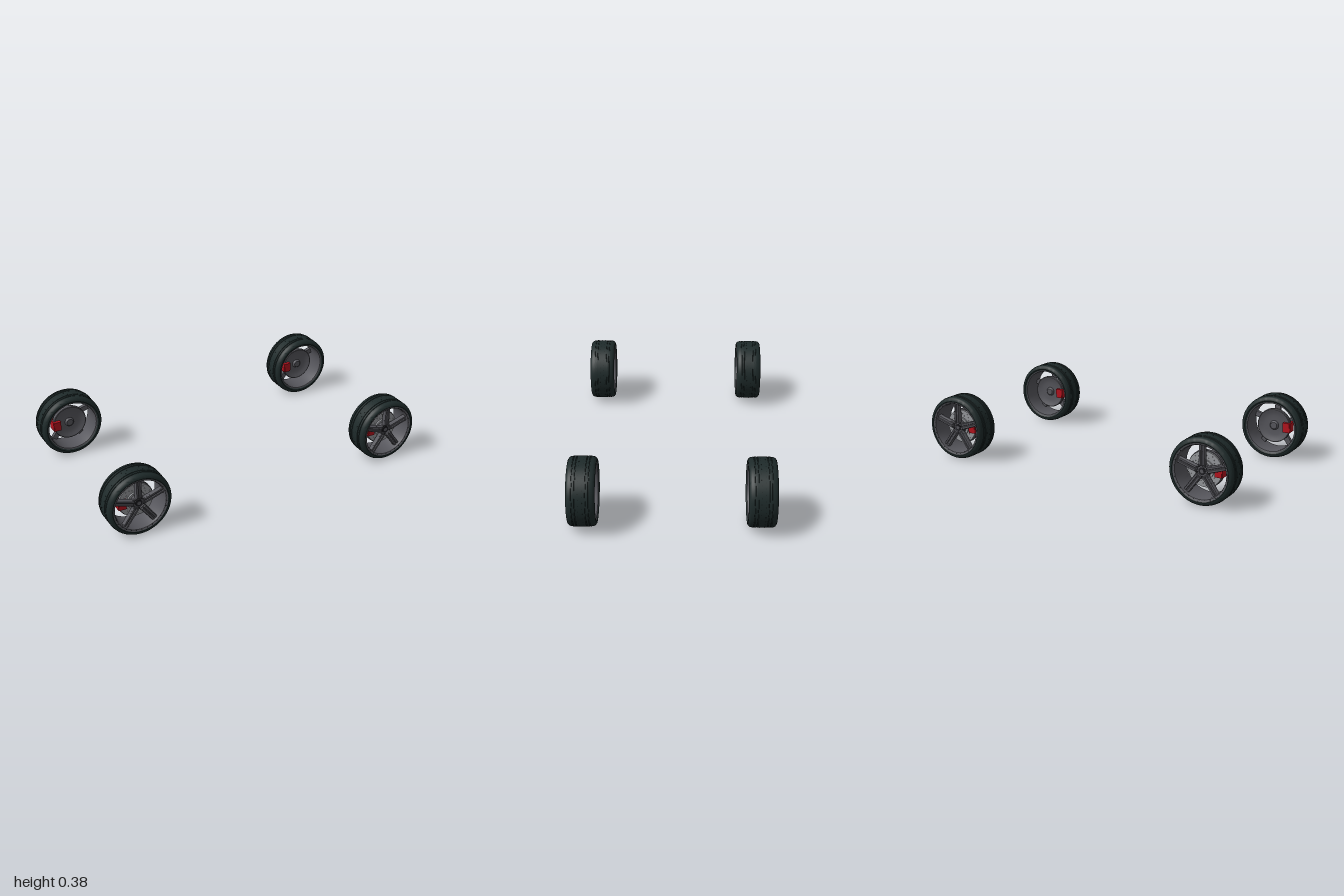
import * as THREE from 'three';
import { toCreasedNormals } from 'three/addons/utils/BufferGeometryUtils.js';

const mat = (name, color) => Object.assign(new THREE.MeshStandardMaterial({ color }), { name });
const R = 0.19;

function add(parent, name, geometry, material, x = 0, y = 0, z = 0) {
  const mesh = new THREE.Mesh(geometry, material);
  mesh.name = name;
  mesh.position.set(x, y, z);
  parent.add(mesh);
  return mesh;
}

// Revolves a counter-clockwise [radius, z] profile about the z axis
function turned(points, segments = 72) {
  const g = new THREE.LatheGeometry(points.map(p => new THREE.Vector2(...p)), segments);
  g.rotateX(Math.PI / 2);
  return toCreasedNormals(g, 0.6);
}

// Cylinder whose axis is z
const disc = (r, depth, segments = 32) => new THREE.CylinderGeometry(r, r, depth, segments).rotateX(Math.PI / 2);

// Tapered bar from radius r0 to r1 along +y, between half-widths w0 and w1
function bar(r0, r1, w0, w1, depth, offset = 0) {
  const s = new THREE.Shape([
    new THREE.Vector2(offset - w0, r0), new THREE.Vector2(offset + w0, r0),
    new THREE.Vector2(offset + w1, r1), new THREE.Vector2(offset - w1, r1),
  ]);
  return new THREE.ExtrudeGeometry(s, {
    depth, bevelEnabled: true, bevelSize: 0.002, bevelThickness: 0.003, bevelSegments: 1,
  });
}

export function createModel() {
  const rubber = mat('tyre rubber', 0x1e2a2a);
  const darkRubber = mat('tread cut', 0x111818);
  const alloy = mat('dark alloy', 0x56565c);
  const steel = mat('brake steel', 0x96989c);
  const red = mat('caliper red', 0xb3121d);
  const black = mat('hub black', 0x1c1c20);

  // Tyre with rounded shoulders and four shallow grooves
  const tyrePoints = [[0.152, -0.064], [0.157, -0.073], [0.165, -0.0775], [0.174, -0.0765],
    [0.182, -0.071], [0.187, -0.062], [0.1885, -0.052]];
  for (const z of [-0.045, -0.028, 0.028, 0.045])
    tyrePoints.push([0.19, z - 0.0025], [0.1865, z - 0.0015], [0.1865, z + 0.0015], [0.19, z + 0.0025]);
  tyrePoints.push([0.1885, 0.052], [0.187, 0.062], [0.182, 0.071], [0.174, 0.0765],
    [0.165, 0.0775], [0.157, 0.073], [0.152, 0.064], [0.152, -0.064]);
  const tyreGeo = turned(tyrePoints, 96);

  // Open rim barrel with a lip on each side
  const rimGeo = turned([[0.147, -0.06], [0.15, -0.07], [0.161, -0.074], [0.163, -0.07], [0.154, -0.06],
    [0.154, 0.06], [0.163, 0.072], [0.161, 0.076], [0.151, 0.072], [0.147, 0.06], [0.147, -0.06]]);

  // Drilled brake rotor
  const rotorShape = new THREE.Shape().absarc(0, 0, 0.1, 0, Math.PI * 2);
  for (let i = 0; i < 30; i++) {
    const a = i * Math.PI / 15, r = 0.068 + (i % 3) * 0.01;
    rotorShape.holes.push(new THREE.Path().absarc(Math.cos(a) * r, Math.sin(a) * r, 0.0022, 0, Math.PI * 2, true));
  }
  const rotorGeo = new THREE.ExtrudeGeometry(rotorShape, { depth: 0.012, bevelEnabled: false, curveSegments: 48 });

  // Dished backing plate with a raised centre, facing inwards
  const dishGeo = turned([[0, -0.022], [0.02, -0.022], [0.025, -0.018], [0.028, -0.009], [0.06, -0.008],
    [0.082, -0.013], [0.1, -0.02], [0.104, -0.018], [0.104, 0.001], [0, 0.001]]);

  const hubGeo = turned([[0, 0], [0.036, 0], [0.042, 0.02], [0.042, 0.04], [0.037, 0.046], [0, 0.046]], 48);
  const spokeGeo = bar(0.03, 0.15, 0.018, 0.015, 0.014);
  const ridgeGeos = [-1, 1].map(s => bar(0.036, 0.147, 0.0055, 0.0045, 0.003, s * 0.0095));
  const rimBoltGeo = disc(0.0022, 0.004, 6);
  const lugGeo = disc(0.0045, 0.004, 6);
  const cutGeo = new THREE.BoxGeometry(0.0055, 0.001, 0.003);

  function makeWheel(name, caliperSide) {
    const wheel = new THREE.Group();
    wheel.name = name;
    add(wheel, 'tyre', tyreGeo, rubber);
    add(wheel, 'rim', rimGeo, alloy);
    add(wheel, 'brakeRotor', rotorGeo, steel);
    add(wheel, 'backingDish', dishGeo, alloy);
    add(wheel, 'hub', hubGeo, alloy);
    add(wheel, 'rotorHat', disc(0.055, 0.014), steel, 0, 0, 0.016);
    add(wheel, 'hubCap', disc(0.021, 0.006), black, 0, 0, 0.046);
    add(wheel, 'hubCapCentre', disc(0.011, 0.003), alloy, 0, 0, 0.049);

    // Five double-ridged spokes with a lug bolt between each pair
    for (let i = 0; i < 5; i++) {
      const spoke = new THREE.Group();
      spoke.name = 'spoke';
      spoke.rotation.z = i * Math.PI * 0.4;
      add(spoke, 'spokeBody', spokeGeo, alloy, 0, 0, 0.036);
      ridgeGeos.forEach(g => add(spoke, 'spokeRidge', g, alloy, 0, 0, 0.053));
      add(spoke, 'lugBolt', lugGeo, black, 0, -0.031, 0.0475);
      wheel.add(spoke);
    }

    // Small bolts around the rim lip
    for (let i = 0; i < 30; i++) {
      const a = (i + 0.5) * Math.PI / 15;
      add(wheel, 'rimBolt', rimBoltGeo, black, Math.cos(a) * 0.1545, Math.sin(a) * 0.1545, 0.0735);
    }

    // Two staggered rows of tread cuts
    for (let i = 0; i < 72; i++) {
      const a = i * Math.PI / 36;
      const cut = add(wheel, 'treadCut', cutGeo, darkRubber,
        -Math.sin(a) * R, Math.cos(a) * R, i % 2 ? 0.012 : -0.012);
      cut.rotation.z = a;
    }

    // Caliper straddling the rotor
    const caliper = new THREE.Group();
    caliper.name = 'caliper';
    add(caliper, 'caliperInner', new THREE.BoxGeometry(0.042, 0.058, 0.022), red, 0, 0, -0.026);
    add(caliper, 'caliperOuter', new THREE.BoxGeometry(0.042, 0.058, 0.014), red, 0, 0, 0.021);
    add(caliper, 'caliperBridge', new THREE.BoxGeometry(0.008, 0.058, 0.06), red, caliperSide * 0.021, 0, -0.004);
    caliper.position.x = caliperSide * 0.084;
    wheel.add(caliper);
    return wheel;
  }

  const model = new THREE.Group();
  model.name = 'wheelSet';
  for (const front of [1, -1]) for (const side of [1, -1]) {
    const wheel = makeWheel((front > 0 ? 'front' : 'rear') + (side > 0 ? 'Left' : 'Right') + 'Wheel', -front);
    wheel.position.set(side * 0.81, R, front * 0.48);
    if (front < 0) wheel.rotation.y = Math.PI;
    model.add(wheel);
  }
  return model;
}
